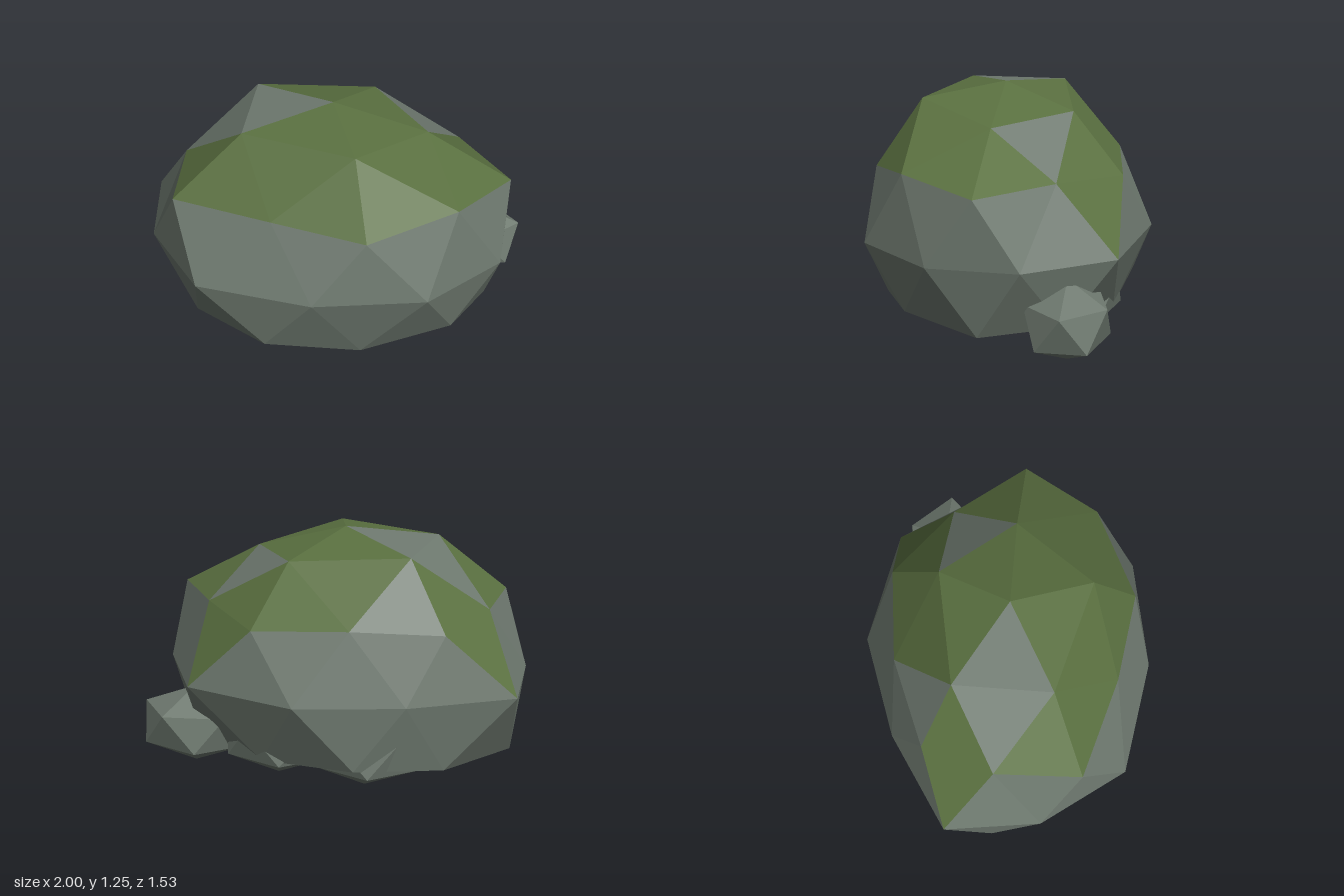
import * as THREE from 'three';

const stone = new THREE.MeshStandardMaterial({ color: 0x6f7a70, flatShading: true });
stone.name = 'grey stone';
const moss = new THREE.MeshStandardMaterial({ color: 0x5a7040, flatShading: true });
moss.name = 'green moss';

// Rings of the boulder, each running from +x towards +z
const top = [0.01, 1.25, 0.01];
const crown = [[0.5, 1.11, 0], [0.18, 1.18, 0.42], [-0.42, 1.18, 0.27], [-0.43, 1.18, -0.24], [0.18, 1.14, -0.37]];
const upper = [[0.94, 0.865, 0.01], [0.27, 0.83, 0.65], [-0.75, 0.87, 0.45], [-0.66, 0.84, -0.38], [0.28, 0.84, -0.64]];
const upperMid = [[0.7, 0.91, 0.41], [-0.22, 0.875, 0.59], [-0.78, 0.88, 0], [-0.22, 0.87, -0.57], [0.64, 0.88, -0.35]];
const waist = [[0.92, 0.25], [0.58, 0.64], [0.01, 0.765], [-0.6, 0.68], [-0.92, 0.26],
  [-1, -0.24], [-0.52, -0.57], [0.01, -0.77], [0.63, -0.66], [0.93, -0.22]].map(([x, z]) => [x, 0.505, z]);
const lower = [[0.69, 0.19, 0.41], [-0.25, 0.17, 0.68], [-0.91, 0.13, 0], [-0.27, 0.16, -0.65], [0.7, 0.16, -0.4]];
const lowerMid = [[0.24, 0.13, 0.61], [-0.67, 0.13, 0.39], [-0.67, 0.13, -0.4], [0.25, 0.13, -0.6], [0.84, 0.13, 0.01]];
const base = [[0.42, 0.13, 0.24], [-0.16, 0.13, 0.39], [-0.51, 0.13, 0], [-0.16, 0.13, -0.39], [0.42, 0.13, -0.24]];
const bottom = [0, 0.13, 0];

// Mesh of loose triangles, each turned to face away from the boulder's middle
function facetMesh(name, faces, material) {
  const middle = new THREE.Vector3(0, 0.55, 0);
  const points = [];
  for (const face of faces) {
    const [a, b, c] = face.map((p) => new THREE.Vector3(...p));
    const normal = b.clone().sub(a).cross(c.clone().sub(a));
    points.push(...(normal.dot(a.clone().sub(middle)) > 0 ? [a, b, c] : [a, c, b]));
  }
  const geometry = new THREE.BufferGeometry().setFromPoints(points);
  geometry.computeVertexNormals();
  const mesh = new THREE.Mesh(geometry, material);
  mesh.name = name;
  return mesh;
}

function boulder() {
  const rock = [];
  const green = [];
  for (let k = 0; k < 5; k++) {
    const n = (k + 1) % 5;
    const C = crown[k], C2 = crown[n], U = upper[k], U2 = upper[n], M = upperMid[k];
    const W = waist[2 * k], W2 = waist[2 * k + 1], W3 = waist[(2 * k + 2) % 10];
    const L = lower[k], L2 = lower[n], Q = lowerMid[k], B = base[k], B2 = base[n];
    // Mossy cap with a few bare facets
    (k === 2 ? rock : green).push([top, C, C2]);
    (k === 2 || k === 4 ? rock : green).push([C, M, C2]);
    (k === 3 ? rock : green).push([C, U, M]);
    green.push([C2, M, U2]);
    // Shoulder, with two facets where the moss runs down
    (k === 4 ? green : rock).push([U, M, W]);
    (k === 2 ? green : rock).push([M, U2, W2]);
    rock.push([M, W, W2], [U2, W2, W3]);
    // Lower sides
    rock.push([W, W2, L], [L, W2, Q], [W2, W3, Q], [L2, W3, Q]);
    // Flat underside
    rock.push([L, Q, B], [L2, Q, B2], [B, Q, B2], [B, B2, bottom]);
  }
  const group = new THREE.Group();
  group.name = 'boulder';
  group.add(facetMesh('boulderStone', rock, stone), facetMesh('boulderMoss', green, moss));
  return group;
}

export function createModel() {
  const model = new THREE.Group();
  model.name = 'mossyRock';
  model.add(boulder());

  // Row of small stones under the back edge, each standing on a point
  const pebble = new THREE.IcosahedronGeometry(1, 0);
  pebble.rotateX(-Math.atan2((1 + Math.sqrt(5)) / 2, 1));
  pebble.rotateY(Math.PI / 2);
  pebble.scale(0.32, 0.21, 0.245);
  [-0.25, 0.23, 0.71].forEach((x, i) => {
    const mesh = new THREE.Mesh(pebble, stone);
    mesh.name = 'smallStone' + (i + 1);
    mesh.position.set(x, 0.21, -0.42);
    model.add(mesh);
  });
  return model;
}
